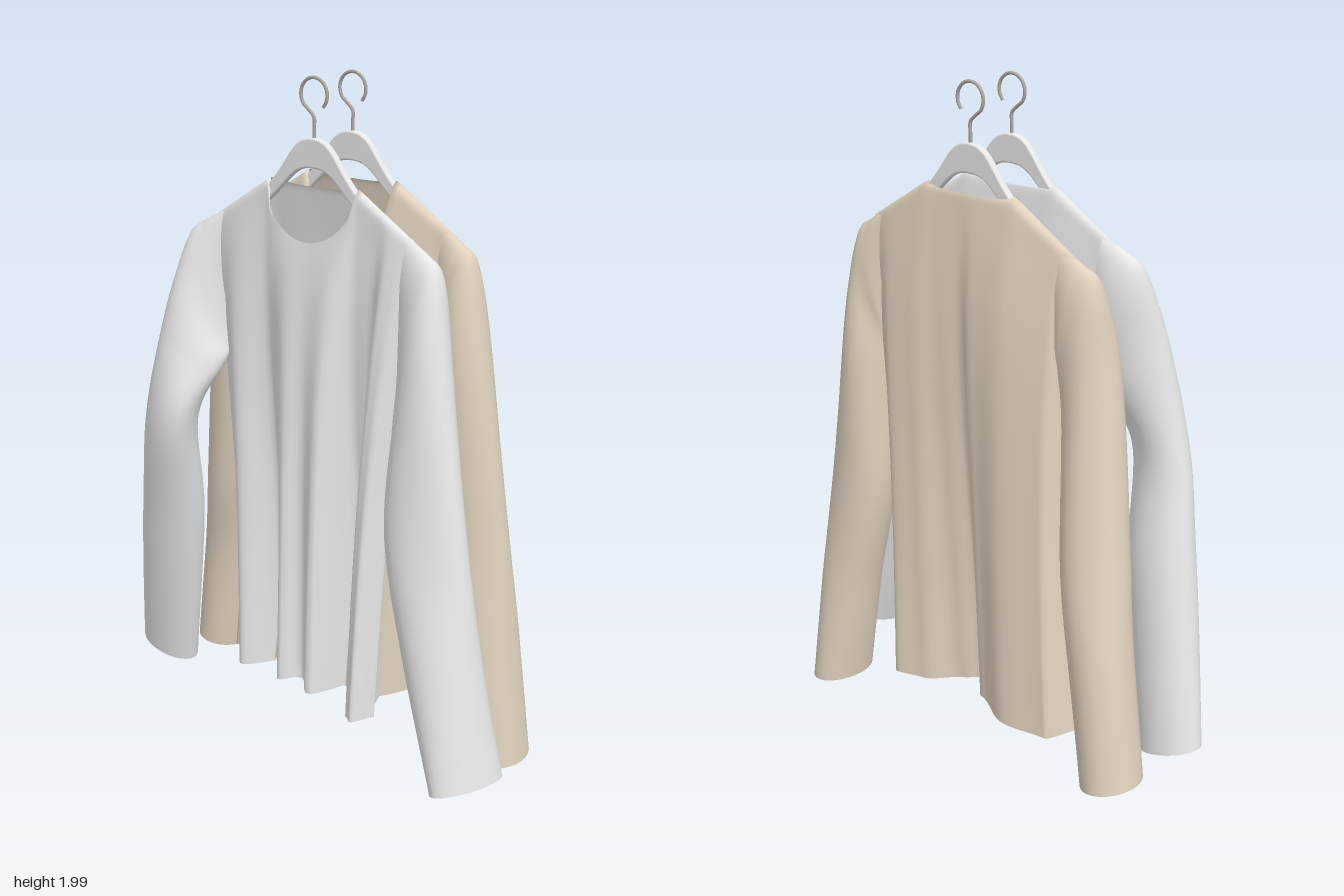
import * as THREE from 'three';

const mat = (name, color, side = THREE.FrontSide) => {
  const m = new THREE.MeshStandardMaterial({ color, side });
  m.name = name;
  return m;
};
const lerp = THREE.MathUtils.lerp;

// Grid of points closed around each ring
function loft(rows, cols, point) {
  const pos = [], index = [];
  for (let i = 0; i <= rows; i++)
    for (let j = 0; j < cols; j++) pos.push(...point(i / rows, (j / cols) * Math.PI * 2));
  for (let i = 0; i < rows; i++)
    for (let j = 0; j < cols; j++) {
      const a = i * cols + j, b = i * cols + (j + 1) % cols, c = a + cols, d = b + cols;
      index.push(a, b, c, b, d, c);
    }
  const g = new THREE.BufferGeometry();
  g.setAttribute('position', new THREE.Float32BufferAttribute(pos, 3));
  g.setIndex(index);
  g.computeVertexNormals();
  return g;
}

// Smooth step between [u, z] knots
function knotValue(knots, u) {
  for (let i = 1; i < knots.length; i++) {
    const [u0, z0] = knots[i - 1], [u1, z1] = knots[i];
    if (u <= u1) return lerp(z0, z1, THREE.MathUtils.smoothstep(u, u0, u1));
  }
  return knots[knots.length - 1][1];
}

// Catmull-Rom through rows of numbers
function sample(rows, t) {
  const n = rows.length - 1, f = t * n, i = Math.min(Math.floor(f), n - 1), k = f - i;
  const at = (j) => rows[Math.max(0, Math.min(n, j))];
  const [a, b, c, d] = [at(i - 1), at(i), at(i + 1), at(i + 2)];
  return b.map((_, q) => b[q] + 0.5 * k * (c[q] - a[q]
    + k * (2 * a[q] - 5 * b[q] + 4 * c[q] - d[q] + k * (3 * (b[q] - c[q]) + d[q] - a[q]))));
}

const SHOULDER = 0.375, NECK = SHOULDER * Math.cos(Math.PI * 2 * 23 / 128);

// Body: draped tube from shoulder line and neckline to the wavy hem
function torso({ z, front, back, hemLeft, hemRight, hemFront, hemBack }) {
  return loft(56, 128, (t, th) => {
    const v = Math.pow(t, 1.8);
    const u = Math.cos(th), s = Math.sin(th), isFront = s >= 0, ax = Math.abs(u) * SHOULDER;
    const out = Math.max(0, (ax - NECK) / (SHOULDER - NECK));
    const shoulderY = 1.7 - 0.135 * out;
    const dip = (isFront ? 0.165 : 0.015) * Math.sqrt(Math.max(0, 1 - (ax / NECK) ** 2));
    const y = lerp(shoulderY - dip, 0.15 + 0.03 * Math.exp(-9 * u * u), v);
    const x = lerp(SHOULDER * u, lerp(hemLeft, hemRight, (u + 1) / 2), v) - 0.02 * u * Math.sin(Math.PI * v);
    const d = shoulderY - y;
    const puff = 0.25 * (1 - Math.exp(-d / 0.008)) + 0.75 * (1 - Math.exp(-Math.pow(d / 0.33, 1.4)));
    const chest = z + (isFront ? front : -back) * puff * Math.pow(Math.abs(s), 0.5);
    return [x, y, lerp(chest, knotValue(isFront ? hemFront : hemBack, u), Math.pow(v, 0.95))];
  });
}

// Sleeve: sections are [inner x, inner y, outer x, outer y, z, half depth, skew]
function sleeve(sections) {
  return loft(48, 32, (v, th) => {
    const [xi, yi, xo, yo, z, b, skew] = sample(sections, v);
    const fold = 1 + 0.05 * Math.sin(3 * th + v * 12) * Math.sin(v * Math.PI) * v;
    const c = Math.cos(th) * fold, s = Math.sin(th) * fold;
    return [(xi + xo) / 2 + (xo - xi) / 2 * c + skew * s,
      (yi + yo) / 2 + (yo - yi) / 2 * c, z + b * s];
  });
}

// Hanger: arched body with arms inside the shoulders and a wire hook
function hanger(z, body, metal) {
  const g = new THREE.Group();
  g.name = 'hanger';
  const s = new THREE.Shape();
  s.moveTo(0, 1.822);
  s.bezierCurveTo(0.075, 1.822, 0.075, 1.755, 0.17, 1.668);
  s.lineTo(0.3, 1.575);
  s.lineTo(0.295, 1.545);
  s.lineTo(0.165, 1.64);
  s.bezierCurveTo(0.08, 1.715, 0.07, 1.748, 0, 1.748);
  s.bezierCurveTo(-0.07, 1.748, -0.08, 1.715, -0.165, 1.64);
  s.lineTo(-0.295, 1.545);
  s.lineTo(-0.3, 1.575);
  s.lineTo(-0.17, 1.668);
  s.bezierCurveTo(-0.075, 1.755, -0.075, 1.822, 0, 1.822);
  const arch = new THREE.Mesh(new THREE.ExtrudeGeometry(s, {
    depth: 0.008, bevelThickness: 0.008, bevelSize: 0.006, bevelSegments: 4, curveSegments: 14,
  }), body);
  arch.name = 'hangerBody';
  arch.position.z = -0.004;
  const pts = [new THREE.Vector3(0, 1.81, 0), new THREE.Vector3(0, 1.85, 0), new THREE.Vector3(0, 1.885, 0)];
  for (let k = 0; k <= 10; k++) {
    const a = THREE.MathUtils.degToRad(245 - k * 29);
    pts.push(new THREE.Vector3(0.047 * Math.cos(a), 1.948 + 0.047 * Math.sin(a), 0));
  }
  const hook = new THREE.Mesh(
    new THREE.TubeGeometry(new THREE.CatmullRomCurve3(pts), 60, 0.005, 8), metal);
  hook.name = 'hangerHook';
  g.add(arch, hook);
  g.position.z = z;
  return g;
}

const greyShirt = {
  name: 'frontShirt', z: 0.04, front: 0.08, back: 0.065, hemLeft: -0.33, hemRight: 0.29,
  hemFront: [[-1, 0], [-0.75, 0.1], [-0.4, -0.01], [-0.12, 0.15], [0.05, 0.1], [0.26, 0.155],
    [0.48, -0.05], [0.64, -0.05], [0.78, 0.17], [0.88, 0.19], [1, 0.12]],
  hemBack: [[-1, 0], [-0.6, -0.08], [-0.2, -0.04], [0.2, -0.07], [0.6, -0.08], [1, 0.12]],
  sleeves: {
    leftSleeve: [[0.318, 1.27, 0.335, 1.585, 0.04, 0.035, 0], [0.32, 1.22, 0.4, 1.548, 0.045, 0.055, 0],
      [0.325, 1.17, 0.452, 1.495, 0.055, 0.068, 0], [0.332, 1.05, 0.497, 1.27, 0.075, 0.082, 0],
      [0.345, 0.74, 0.59, 0.78, 0.125, 0.085, -0.01],
      [0.45, 0.4, 0.65, 0.44, 0.15, 0.1, -0.02], [0.59, 0.06, 0.715, 0.09, 0.165, 0.115, -0.03]],
    rightSleeve: [[-0.318, 1.27, -0.335, 1.585, 0.04, 0.035, 0], [-0.315, 1.23, -0.4, 1.55, 0.05, 0.055, 0],
      [-0.31, 1.19, -0.458, 1.495, 0.065, 0.068, 0], [-0.305, 1.12, -0.503, 1.27, 0.11, 0.085, 0],
      [-0.36, 0.95, -0.56, 0.95, 0.165, 0.09, 0.04],
      [-0.41, 0.6, -0.63, 0.62, 0.11, 0.09, 0.01], [-0.52, 0.065, -0.72, 0.12, 0.035, 0.07, 0]],
  },
};
const beigeShirt = {
  name: 'backShirt', z: -0.135, front: 0.085, back: 0.085, hemLeft: -0.43, hemRight: 0.3,
  hemFront: [[-1, -0.13], [-0.8, 0], [-0.4, 0.02], [0, 0.02], [0.4, 0.02], [0.75, 0.01], [1, -0.14]],
  hemBack: [[-1, -0.13], [-0.85, -0.25], [-0.45, -0.27], [-0.1, -0.22], [0.05, -0.13], [0.25, -0.16],
    [0.55, -0.22], [0.8, -0.24], [1, -0.14]],
  sleeves: {
    leftSleeve: [[0.318, 1.27, 0.335, 1.585, -0.135, 0.035, 0], [0.32, 1.22, 0.395, 1.548, -0.13, 0.055, 0],
      [0.325, 1.17, 0.445, 1.495, -0.125, 0.068, 0], [0.332, 1.03, 0.488, 1.25, -0.13, 0.088, 0],
      [0.345, 0.7, 0.56, 0.72, -0.135, 0.09, 0],
      [0.42, 0.35, 0.6, 0.36, -0.145, 0.1, 0], [0.48, 0.015, 0.635, 0.005, -0.155, 0.11, 0]],
    rightSleeve: [[-0.318, 1.27, -0.335, 1.585, -0.135, 0.035, 0], [-0.318, 1.22, -0.395, 1.548, -0.13, 0.055, 0],
      [-0.32, 1.17, -0.448, 1.495, -0.12, 0.068, 0], [-0.33, 1.03, -0.49, 1.25, -0.105, 0.088, 0],
      [-0.37, 0.7, -0.56, 0.72, -0.14, 0.105, 0],
      [-0.43, 0.4, -0.61, 0.42, -0.175, 0.1, 0], [-0.49, 0.05, -0.66, 0.075, -0.19, 0.1, 0]],
  },
};

export function createModel() {
  const model = new THREE.Group();
  model.name = 'hangingShirts';
  const grey = mat('greyFabric', 0xe8e8e8, THREE.DoubleSide);
  const beige = mat('beigeFabric', 0xe0d2be, THREE.DoubleSide);
  const body = mat('hangerGrey', 0xe8e8e8);
  const metal = mat('hookMetal', 0xb0aaa4);
  for (const [shirt, cloth] of [[greyShirt, grey], [beigeShirt, beige]]) {
    const g = new THREE.Group();
    g.name = shirt.name;
    const add = (name, geo) => {
      const m = new THREE.Mesh(geo, cloth);
      m.name = name;
      g.add(m);
    };
    add('torso', torso(shirt));
    for (const [name, sections] of Object.entries(shirt.sleeves)) add(name, sleeve(sections));
    g.add(hanger(shirt.z, body, metal));
    model.add(g);
  }
  return model;
}
